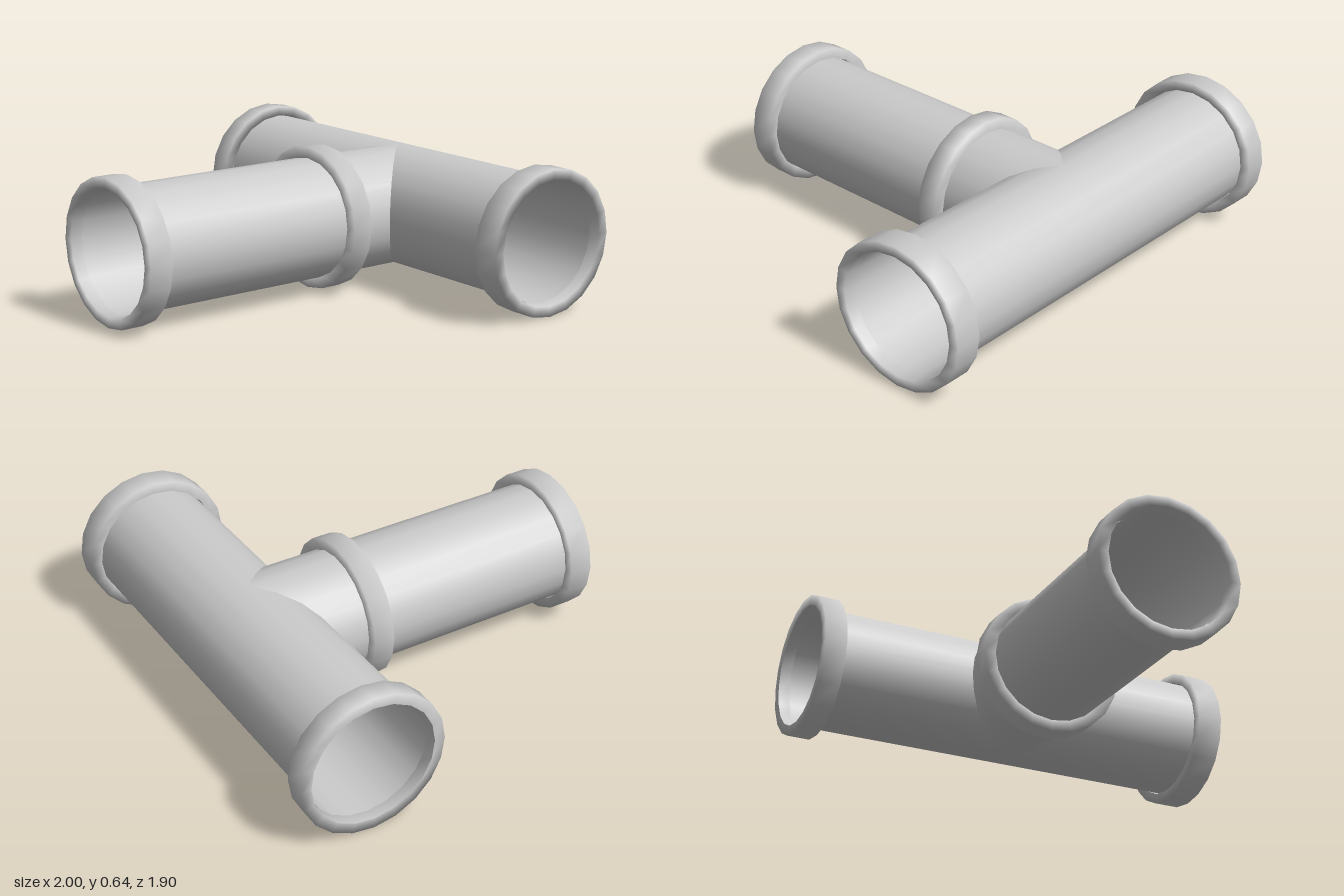
import * as THREE from 'three';

const SIDES = 20;
const CENTRE_Y = 0.32;
const MAIN_Z = -0.62;
const PIPE_R = 0.278;
const RING_R = 0.33;
const SQUASH = 0.97; // the pipes are very slightly flattened in height

const material = new THREE.MeshStandardMaterial({ color: 0xcccccc, side: THREE.DoubleSide });

// Lathed part along its own y axis, from [radius, position] pairs
function turned(name, profile) {
  const points = profile.map(([r, t]) => new THREE.Vector2(r, t));
  const mesh = new THREE.Mesh(new THREE.LatheGeometry(points, SIDES), material);
  mesh.name = name;
  return mesh;
}

// Open thin-walled tube
const pipe = (name, from, to) => turned(name, [[PIPE_R, from], [PIPE_R, to]]);

// Collar with a square section and softly shaded edges
const collar = (name, from, to, inner = 0.283) =>
  turned(name, [[inner, from], [RING_R, from], [RING_R, to], [inner, to], [inner, from]]);

export function createModel() {
  const model = new THREE.Group();
  model.name = 'teePipe';

  // Main run along x, with a collar on each end
  const mainRun = new THREE.Group();
  mainRun.name = 'mainRun';
  mainRun.add(
    pipe('mainPipe', -0.95, 0.95),
    collar('rightCollar', -1, -0.9),
    collar('leftCollar', 0.88, 1)
  );
  mainRun.rotation.z = -Math.PI / 2;
  mainRun.scale.x = SQUASH;
  mainRun.position.set(0, CENTRE_Y, MAIN_Z);

  // Branch along z, reaching the middle of the main run
  const branch = new THREE.Group();
  branch.name = 'branch';
  branch.add(
    pipe('branchPipe', MAIN_Z, 0.9),
    collar('middleCollar', -0.195, -0.1, 0.27),
    collar('frontCollar', 0.845, 0.95)
  );
  branch.rotation.x = Math.PI / 2;
  branch.scale.z = SQUASH;
  branch.position.y = CENTRE_Y;

  model.add(mainRun, branch);
  return model;
}
